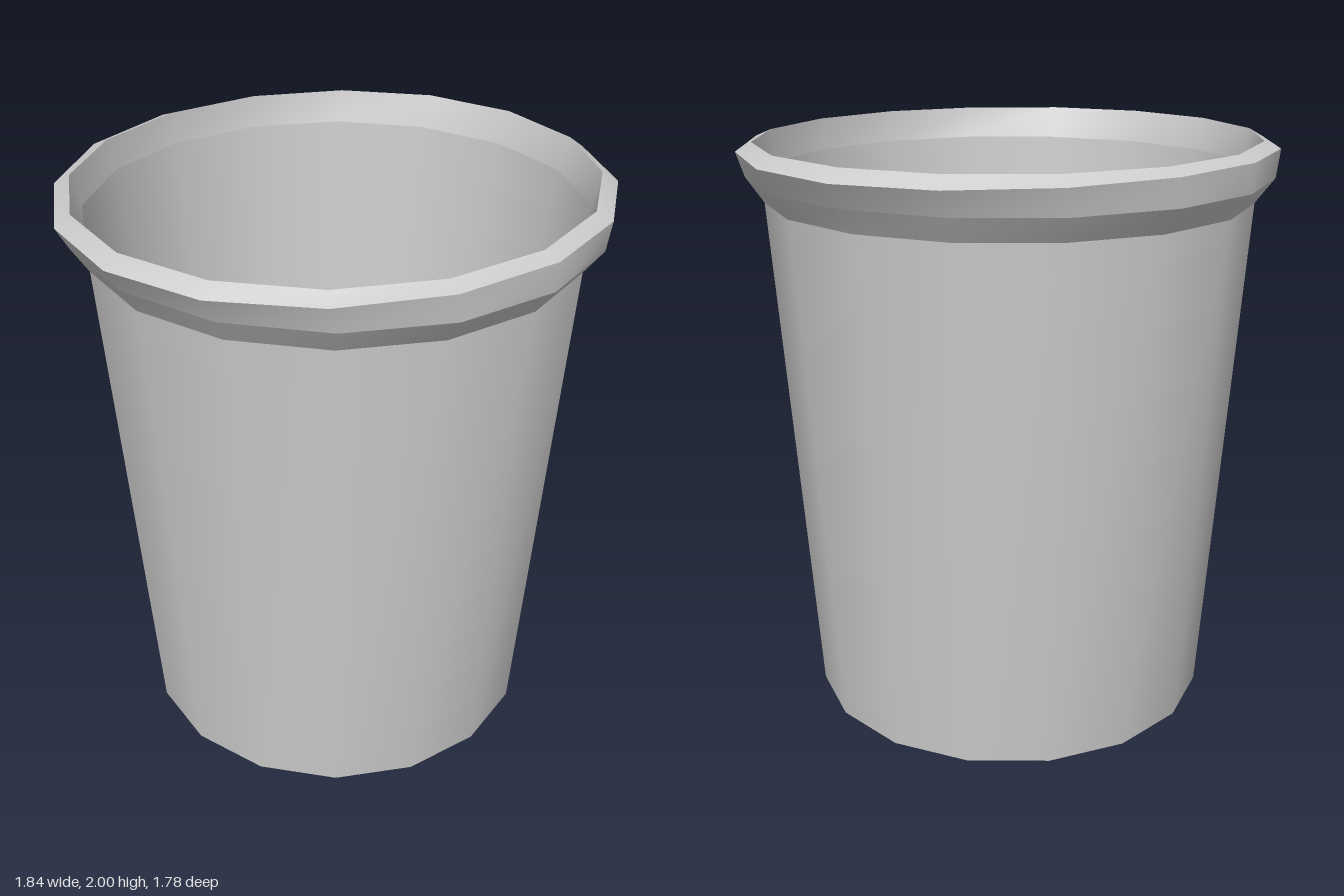
import * as THREE from 'three';

const SIDES = 16;

// A ring is [radius on x, height on x, radius on z, height on z];
// in between, radius and height blend smoothly around the circle.
const ring = (rx, yx, rz = rx, yz = yx) => [rx, yx, rz, yz];

// Closed band between two rings, smooth around and sharp at its borders.
function band(name, lower, upper, material) {
  const pos = [], index = [];
  for (const [rx, yx, rz, yz] of [lower, upper]) {
    for (let i = 0; i < SIDES; i++) {
      const a = (i / SIDES) * Math.PI * 2;
      const t = Math.sin(a) ** 2;
      pos.push(rx * Math.cos(a), yx + (yz - yx) * t, rz * Math.sin(a));
    }
  }
  for (let i = 0; i < SIDES; i++) {
    const j = (i + 1) % SIDES;
    index.push(i, SIDES + i, j, SIDES + i, SIDES + j, j);
  }
  const geometry = new THREE.BufferGeometry();
  geometry.setAttribute('position', new THREE.Float32BufferAttribute(pos, 3));
  geometry.setIndex(index);
  geometry.computeVertexNormals();
  const mesh = new THREE.Mesh(geometry, material);
  mesh.name = name;
  return mesh;
}

export function createModel() {
  const group = new THREE.Group();
  group.name = 'bin';
  const material = new THREE.MeshStandardMaterial({ color: 0xcccccc });

  // Rings from the underside centre, up the outside, over the rim, down inside
  const underCentre = ring(0, 0);
  const underRing = ring(0.45, 0);
  const base = ring(0.7, 0.02);
  const neck = ring(0.82, 1.8);
  const flare = ring(0.87, 1.88, 0.885, 1.885);
  const rimEdge = ring(0.92, 1.96, 0.89, 1.98);
  const rimTop = ring(0.87, 2, 0.835, 2);
  const innerLip = ring(0.825, 1.89);
  const floorEdge = ring(0.66, 0.05);
  const floorCentre = ring(0, 0.05);

  const parts = [
    ['underside', underCentre, underRing],
    ['undersideBevel', underRing, base],
    ['outerWall', base, neck],
    ['rimFlare', neck, flare],
    ['rimSide', flare, rimEdge],
    ['rimTop', rimEdge, rimTop],
    ['innerLip', rimTop, innerLip],
    ['innerWall', innerLip, floorEdge],
    ['floor', floorEdge, floorCentre],
  ];
  for (const [name, a, b] of parts) group.add(band(name, a, b, material));
  return group;
}
